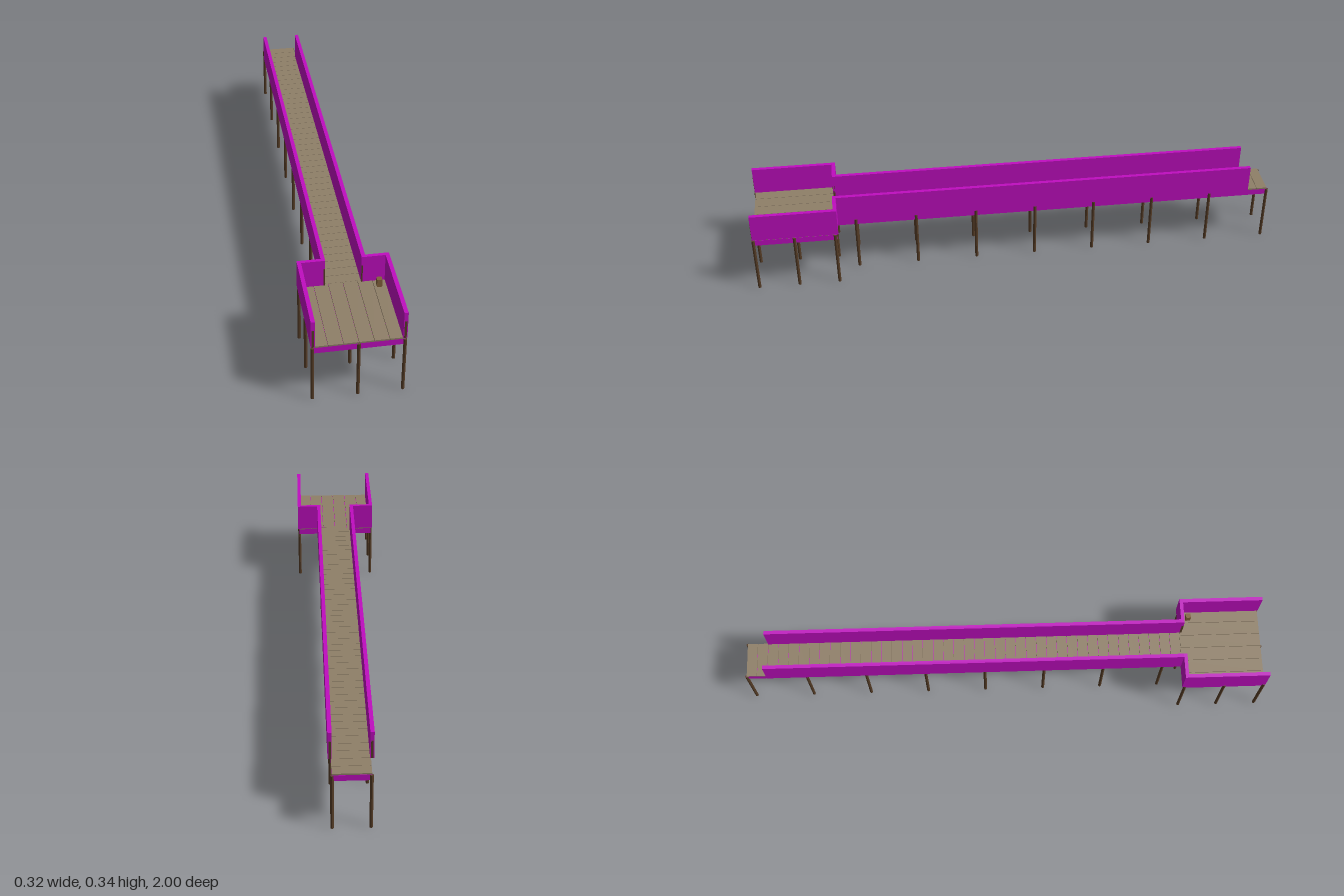
import * as THREE from 'three';

const paint = new THREE.MeshStandardMaterial({ color: 0xbf0dbf });
const plankWood = new THREE.MeshStandardMaterial({ color: 0x8f7f68 });
const legWood = new THREE.MeshStandardMaterial({ color: 0x553c26, flatShading: true });
const boxWood = new THREE.MeshStandardMaterial({ color: 0x80603a });

// Box given by its minimum and maximum on each axis
function block(parent, name, material, [x0, x1], [y0, y1], [z0, z1]) {
  const mesh = new THREE.Mesh(new THREE.BoxGeometry(x1 - x0, y1 - y0, z1 - z0), material);
  mesh.position.set((x0 + x1) / 2, (y0 + y1) / 2, (z0 + z1) / 2);
  mesh.name = name;
  parent.add(mesh);
}

export function createModel() {
  const pier = new THREE.Group();
  pier.name = 'pier';

  const back = -0.994, front = 0.994, joint = 0.684;
  const walkHalf = 0.066, deckHalf = 0.154;
  const frameY = [0.2, 0.223], plankY = [0.223, 0.229], railY = [0.229, 0.336];

  // Painted frames under the planks
  block(pier, 'walkwayFrame', paint, [-walkHalf, walkHalf], frameY, [back, joint]);
  block(pier, 'platformFrame', paint, [-deckHalf, deckHalf], frameY, [joint, front]);

  // Planks: across the walkway, lengthwise on the platform
  const planks = new THREE.Group();
  planks.name = 'planks';
  pier.add(planks);
  const gap = 0.0008;
  const rows = 42, step = (joint - back) / rows;
  for (let i = 0; i < rows; i++) {
    const z = back + i * step;
    block(planks, 'walkwayPlank', plankWood, [-walkHalf, walkHalf], plankY, [z + gap, z + step - gap]);
  }
  const columns = 6, width = (2 * deckHalf) / columns;
  for (let i = 0; i < columns; i++) {
    const x = -deckHalf + i * width;
    block(planks, 'platformPlank', plankWood, [x + gap, x + width - gap], plankY, [joint, front]);
  }

  // Solid side walls with small posts at their open ends, mirrored
  for (const side of [-1, 1]) {
    const span = (a, b) => (side > 0 ? [a, b] : [-b, -a]);
    const post = (a, b, z) =>
      block(pier, 'railPost', legWood, span(a, b), [0.229, 0.3], [z - 0.004, z + 0.004]);
    block(pier, 'walkwayRail', paint, span(0.063, 0.077), railY, [-0.915, 0.678]);
    block(pier, 'platformBackRail', paint, span(0.063, 0.16), railY, [0.678, 0.691]);
    block(pier, 'platformSideRail', paint, span(0.146, 0.16), railY, [0.691, 0.997]);
    post(0.149, 0.157, 0.994);
    post(0.063, 0.068, 0.688);
    post(0.066, 0.074, -0.912);
  }

  // Legs
  const legs = new THREE.Group();
  legs.name = 'legs';
  pier.add(legs);
  const legGeometry = new THREE.CylinderGeometry(0.006, 0.006, 0.222, 8);
  const addLeg = (x, z) => {
    const leg = new THREE.Mesh(legGeometry, legWood);
    leg.name = 'leg';
    leg.position.set(x, 0.111, z);
    legs.add(leg);
  };
  for (const z of [0.994, 0.842, 0.69]) {
    for (const x of [-0.154, 0, 0.154]) addLeg(x, z);
  }
  for (let i = 0; i < 8; i++) {
    const z = back + i * 0.2293;
    addLeg(-0.065, z);
    addLeg(0.065, z);
  }

  // Small crate in the platform's rear corner
  block(pier, 'crate', boxWood, [0.112, 0.13], [0.229, 0.26], [0.711, 0.729]);

  return pier;
}
